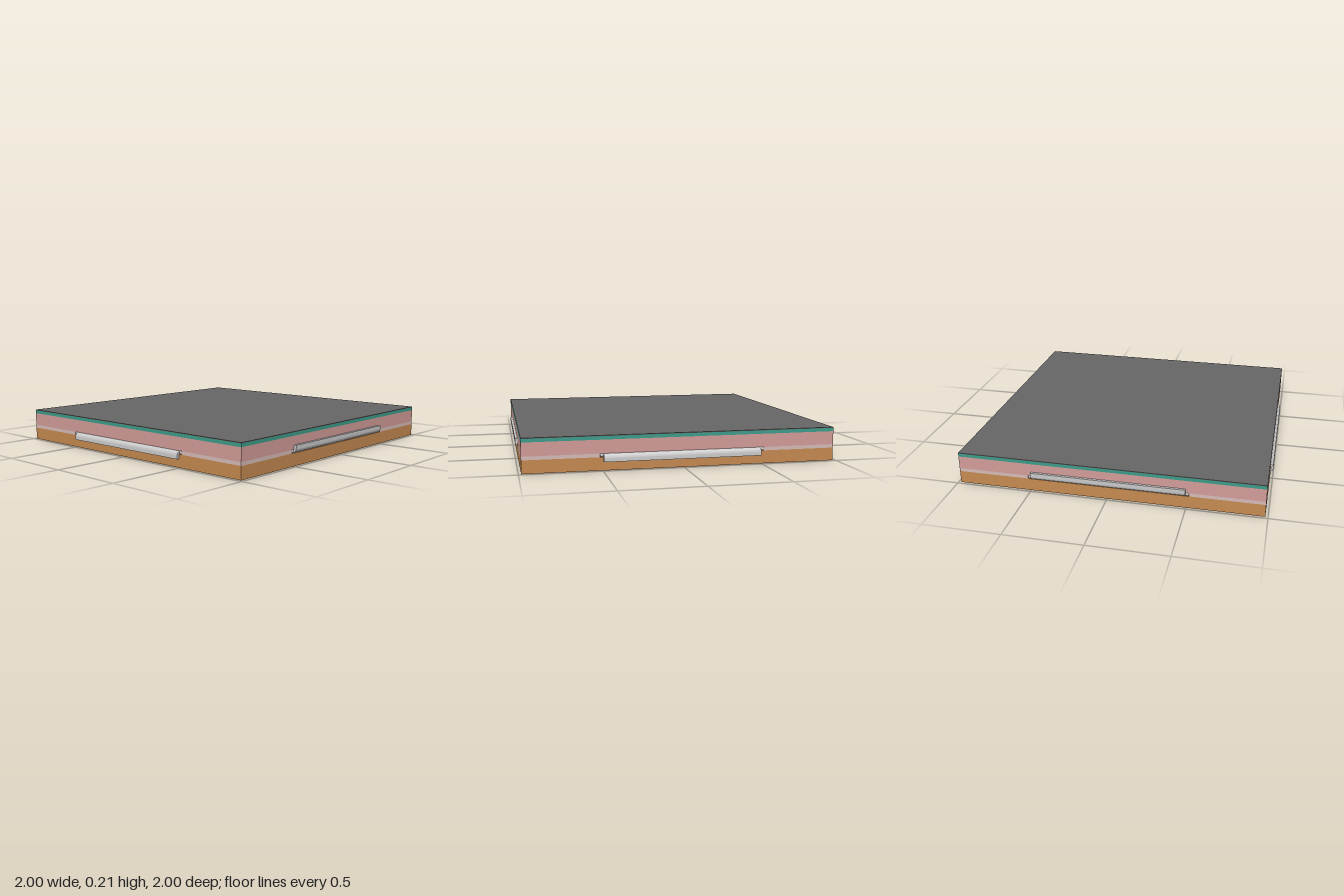
import * as THREE from 'three';
import { toCreasedNormals } from 'three/addons/utils/BufferGeometryUtils.js';

const HALF = 0.983; // half width of the square slab
const SEAM_LOW = 0.082, SEAM_HIGH = 0.104;

function material(name, color) {
  const m = new THREE.MeshStandardMaterial({ color });
  m.name = name;
  return m;
}

function addMesh(parent, name, geometry, mat) {
  const mesh = new THREE.Mesh(geometry, mat);
  mesh.name = name;
  parent.add(mesh);
  return mesh;
}

// Square layer with a shallow hinge notch in the middle of each side
function notchedLayer(height) {
  const notch = 0.516, inner = HALF - 0.024;
  const side = [[HALF, -HALF], [HALF, -notch], [inner, -notch], [inner, notch], [HALF, notch]];
  const points = [];
  for (let i = 0; i < 4; i++) {
    for (const [x, y] of side) {
      points.push(new THREE.Vector2(x, y).rotateAround(new THREE.Vector2(), i * Math.PI / 2));
    }
  }
  const g = new THREE.ExtrudeGeometry(new THREE.Shape(points), { depth: height, bevelEnabled: false });
  return g.rotateX(-Math.PI / 2);
}

// Latch bar: a thin flap with a rounded hinge edge, turned up or down
function latchBar(up) {
  const mid = (SEAM_LOW + SEAM_HIGH) / 2, r = 0.027;
  const profile = [[0.984, 0.039], [1, 0.039]];
  for (let i = 0; i <= 8; i++) {
    const a = i / 8 * Math.PI / 2;
    profile.push([1 - r + r * Math.cos(a), 0.016 - r * Math.sin(a)]);
  }
  profile.push([0.962, -0.011], [0.962, 0.01], [0.984, 0.01]);
  const shape = new THREE.Shape(profile.map(([d, v]) => new THREE.Vector2(d, mid + (up ? v : -v))));
  const g = new THREE.ExtrudeGeometry(shape, { depth: 0.99, bevelEnabled: false });
  return toCreasedNormals(g.translate(0, 0, -0.495), 0.6);
}

export function createModel() {
  const group = new THREE.Group();
  group.name = 'layeredPanel';
  const brown = material('brown', 0xc68a50);
  const pale = material('paleSeam', 0xd6bcb8);
  const pink = material('pink', 0xd29c99);
  const teal = material('teal', 0x3d9c8a);
  const dark = material('darkGrey', 0x666666);
  const metal = material('lightGrey', 0xcccccc);

  // Stacked layers
  const layers = [
    ['baseLayer', 0, SEAM_LOW, brown],
    ['coreLayer', SEAM_HIGH, 0.188, pink],
    ['upperLayer', 0.188, 0.209, teal],
    ['topSheet', 0.209, 0.214, dark],
  ];
  for (const [name, low, high, mat] of layers) {
    const g = new THREE.BoxGeometry(HALF * 2, high - low, HALF * 2);
    addMesh(group, name, g, mat).position.y = (low + high) / 2;
  }
  addMesh(group, 'seamLayer', notchedLayer(SEAM_HIGH - SEAM_LOW), pale).position.y = SEAM_LOW;

  // Four latches: turned up on left and right, down on front and back
  for (let i = 0; i < 4; i++) {
    const latch = new THREE.Group();
    latch.name = 'latch';
    latch.rotation.y = i * Math.PI / 2;
    addMesh(latch, 'latchBar', latchBar(i % 2 === 0), metal);
    const pin = new THREE.CylinderGeometry(0.01, 0.01, 1.03, 16).rotateX(Math.PI / 2);
    addMesh(latch, 'hingePin', pin, metal).position.set(0.972, (SEAM_LOW + SEAM_HIGH) / 2, 0);
    group.add(latch);
  }
  return group;
}
